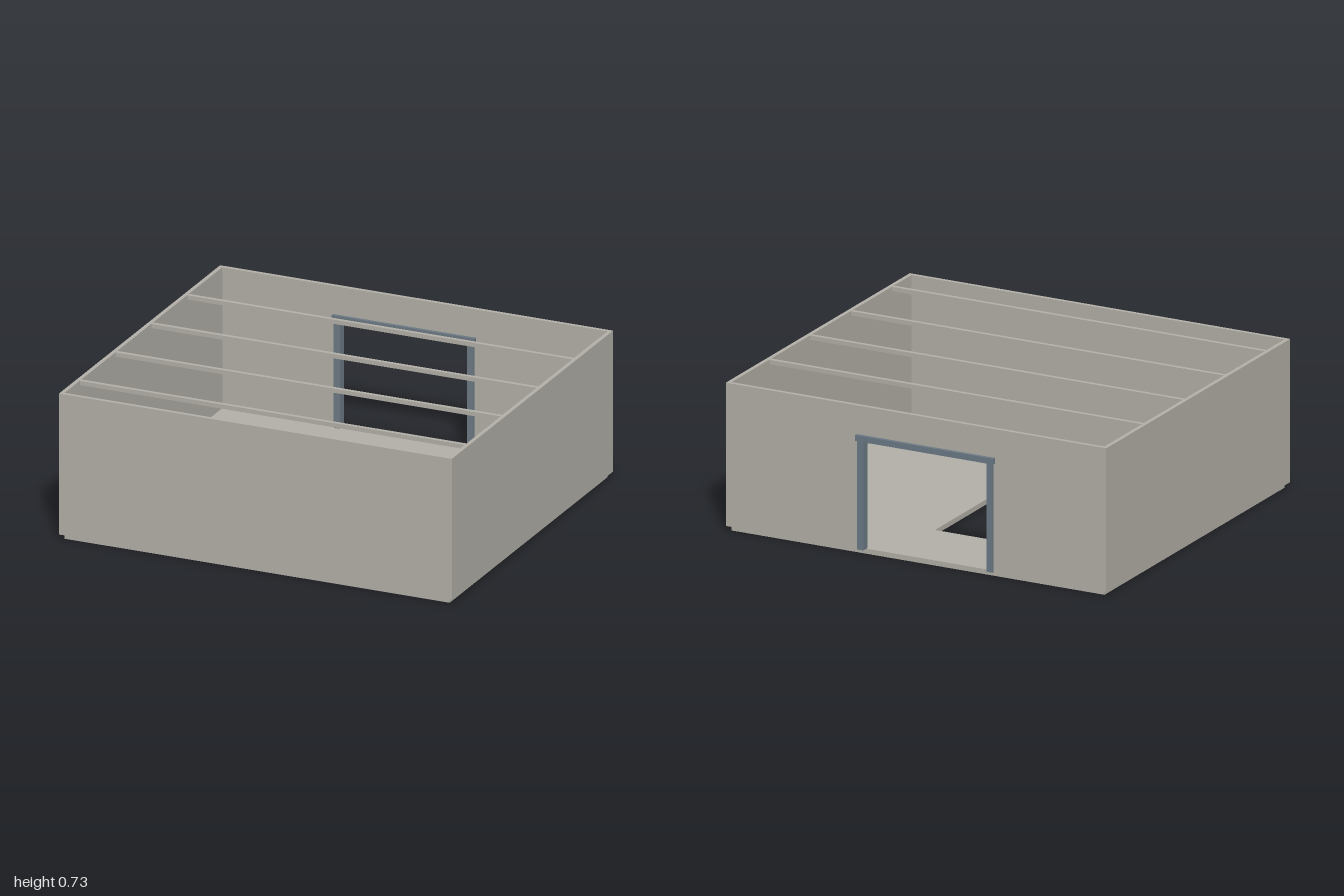
import * as THREE from 'three';

export function createModel() {
  const group = new THREE.Group();
  const concrete = new THREE.MeshStandardMaterial({ color: 0xb3b0a8 });
  concrete.name = 'warm grey concrete';
  const steel = new THREE.MeshStandardMaterial({ color: 0x6c7a85 });
  steel.name = 'blue grey steel';

  const add = (name, geometry, material) => {
    const mesh = new THREE.Mesh(geometry, material);
    mesh.name = name;
    group.add(mesh);
    return mesh;
  };
  // Box given by its limits on each axis
  const block = (name, material, [x0, x1], [y0, y1], [z0, z1]) =>
    add(name, new THREE.BoxGeometry(x1 - x0, y1 - y0, z1 - z0), material)
      .position.set((x0 + x1) / 2, (y0 + y1) / 2, (z0 + z1) / 2);
  const polygon = (points, Type = THREE.Shape) =>
    new Type(points.map(([x, y]) => new THREE.Vector2(x, y)));

  const base = 0.025, top = 0.725, wall = 0.02;
  const back = -0.893, front = 0.903;
  const inner = 1 - wall;

  // Floor slab with a rectangular stair opening (shape y is -z)
  const slab = polygon([[-inner, -front + wall], [inner, -front + wall],
    [inner, -back - wall], [-inner, -back - wall]]);
  slab.holes.push(polygon([[-0.245, -0.295], [-0.245, 0.485], [0.12, 0.485], [0.12, -0.295]], THREE.Path));
  const floor = new THREE.ExtrudeGeometry(slab, { depth: base, bevelEnabled: false });
  floor.rotateX(-Math.PI / 2);
  add('floor', floor, concrete);

  // Plain walls
  block('frontWall', concrete, [-1, 1], [base, top], [front - wall, front]);
  for (const [name, x0] of [['rightWall', -1], ['leftWall', inner]]) {
    block(name, concrete, [x0, x0 + wall], [base, top], [back + wall, front - wall]);
  }

  // Back wall, notched for the doorway
  const door = { x0: -0.38, x1: 0.275, y: 0.56 };
  const notched = polygon([[-1, base], [door.x0, base], [door.x0, door.y], [door.x1, door.y],
    [door.x1, base], [1, base], [1, top], [-1, top]]);
  const backWall = new THREE.ExtrudeGeometry(notched, { depth: wall, bevelEnabled: false });
  backWall.translate(0, 0, back);
  add('backWall', backWall, concrete);

  // Door frame: two posts and a slightly wider lintel
  block('rightDoorPost', steel, [-0.408, -0.376], [base, door.y], [-0.904, -0.862]);
  block('leftDoorPost', steel, [0.271, 0.303], [base, door.y], [-0.904, -0.862]);
  block('doorLintel', steel, [-0.416, 0.311], [0.556, 0.585], [-0.91, -0.857]);

  // Ceiling joists, flush with the wall tops
  for (let i = 0; i < 4; i++) {
    const z = -0.494 + i * 0.399;
    block('ceilingJoist' + (i + 1), concrete, [-inner, inner], [top - 0.022, top - 0.001], [z - 0.01, z + 0.01]);
  }
  return group;
}
